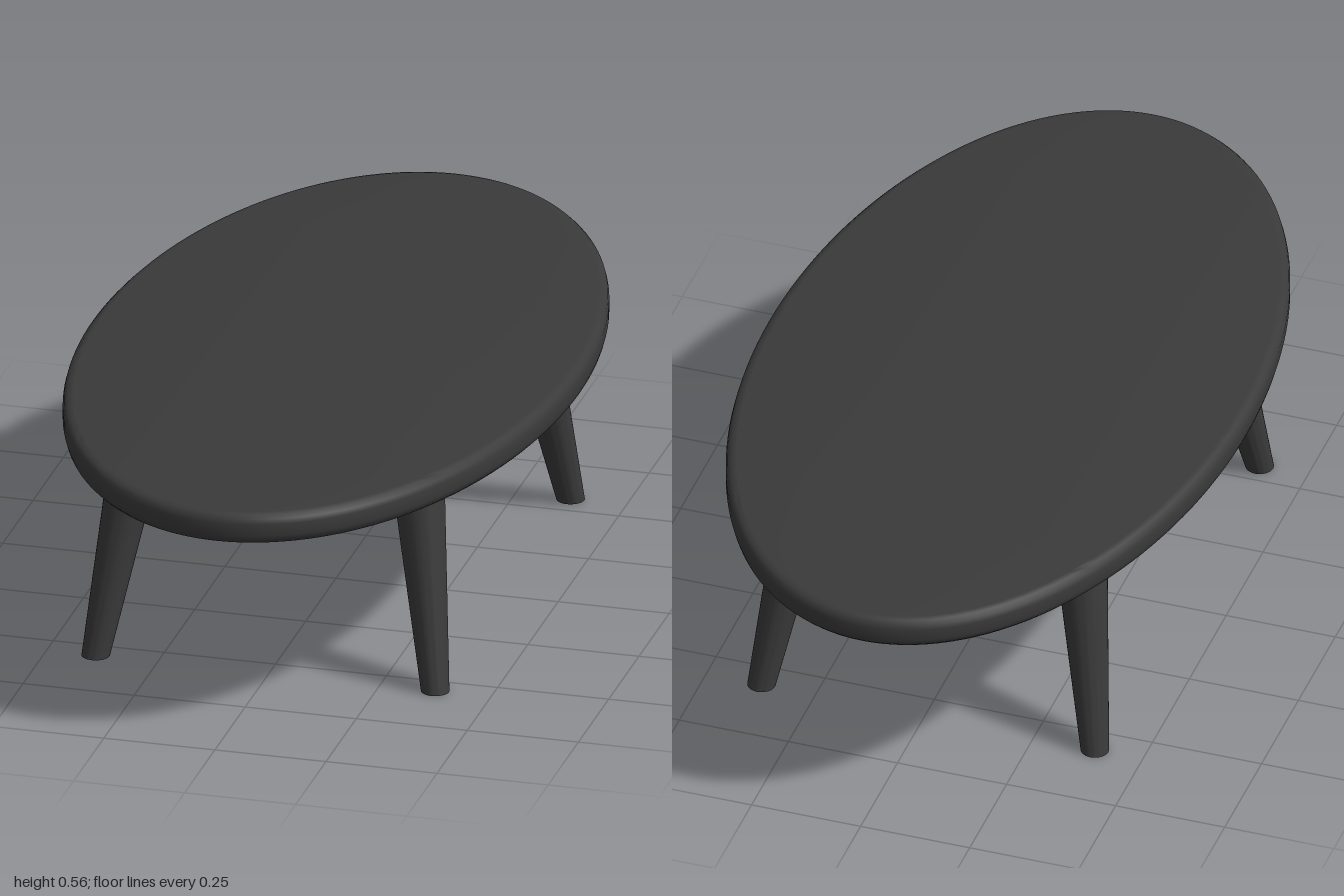
import * as THREE from 'three';
import { toCreasedNormals } from 'three/addons/utils/BufferGeometryUtils.js';

export function createModel() {
  const group = new THREE.Group();
  const dark = new THREE.MeshStandardMaterial({ color: 0x3a3a3a });

  // Oval top with a softly rounded rim
  const bevel = 0.022, underside = 0.485, thickness = 0.071;
  const oval = new THREE.Shape();
  oval.absellipse(0, 0, 0.551 - bevel, 1 - bevel, 0, Math.PI * 2);
  const topGeometry = new THREE.ExtrudeGeometry(oval, {
    depth: thickness - 2 * bevel,
    bevelSize: bevel,
    bevelThickness: bevel,
    bevelSegments: 3,
    curveSegments: 72,
  });
  topGeometry.rotateX(-Math.PI / 2).translate(0, underside + bevel, 0);
  const tableTop = new THREE.Mesh(toCreasedNormals(topGeometry, 0.7), dark);
  tableTop.name = 'tableTop';
  group.add(tableTop);

  // Tapered legs, sheared outward so that both ends stay level
  const legHeight = underside + 0.005;
  const centre = { x: -0.008, z: -0.006 };
  function addLeg(name, sx, sz) {
    const geometry = new THREE.CylinderGeometry(0.06, 0.031, legHeight, 32);
    geometry.translate(0, legHeight / 2, 0);
    const position = geometry.attributes.position;
    for (let i = 0; i < position.count; i++) {
      const t = position.getY(i) / legHeight;
      position.setX(i, position.getX(i) + centre.x + sx * THREE.MathUtils.lerp(0.382, 0.311, t));
      position.setZ(i, position.getZ(i) + centre.z + sz * THREE.MathUtils.lerp(0.559, 0.451, t));
    }
    const leg = new THREE.Mesh(toCreasedNormals(geometry, 0.7), dark);
    leg.name = name;
    group.add(leg);
  }
  addLeg('frontLeftLeg', 1, 1);
  addLeg('frontRightLeg', -1, 1);
  addLeg('backLeftLeg', 1, -1);
  addLeg('backRightLeg', -1, -1);

  return group;
}
